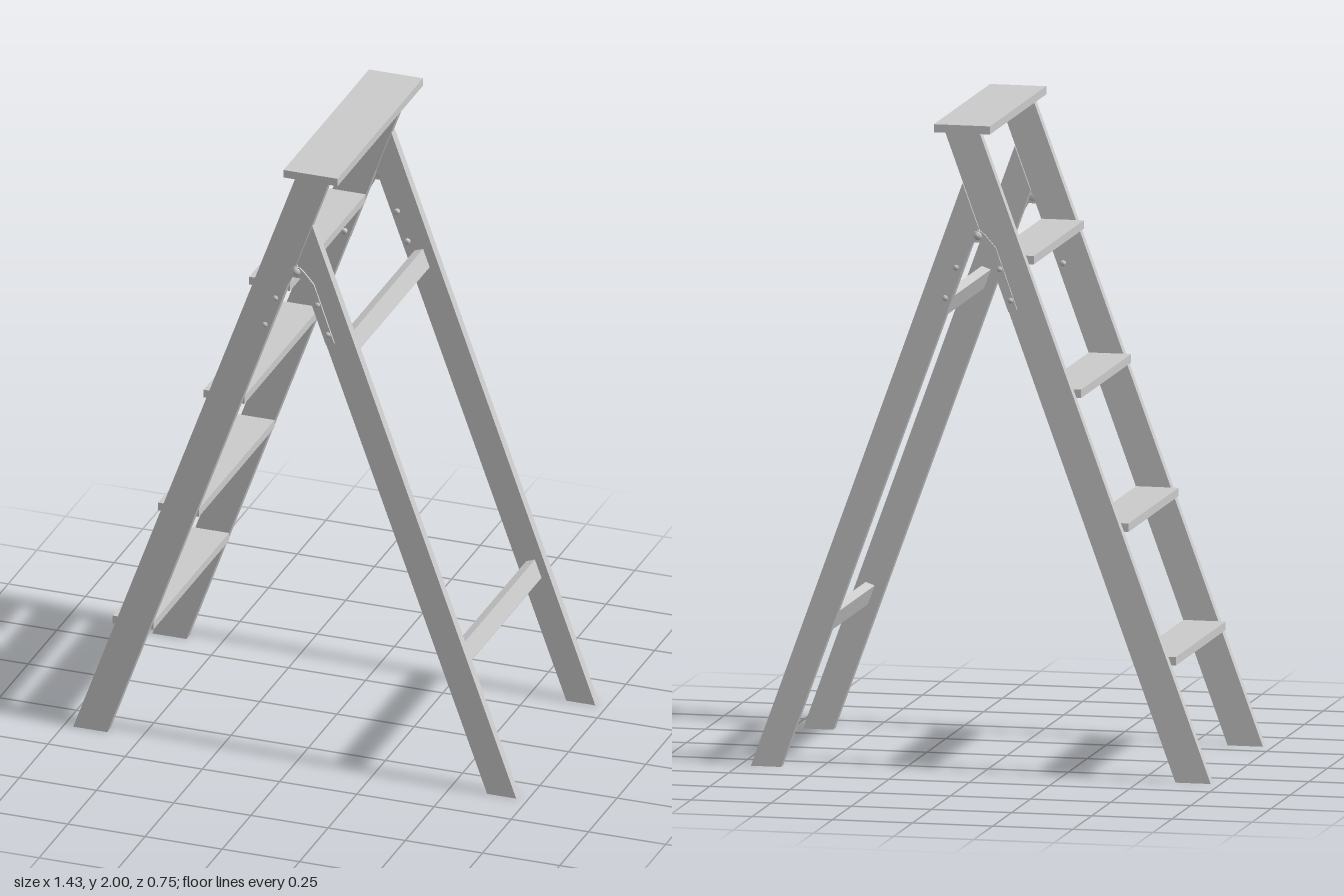
import * as THREE from 'three';

const material = new THREE.MeshStandardMaterial({ color: 0xcccccc, flatShading: true });
const smooth = new THREE.MeshStandardMaterial({ color: 0xcccccc });

const RAIL_IN = 0.33, RAIL_OUT = 0.36;
const LEAN = Math.atan(0.365);
const HINGE_X = 0.005;

function add(parent, name, geometry, x = 0, y = 0, z = 0, mat = material) {
  const mesh = new THREE.Mesh(geometry, mat);
  mesh.name = name;
  mesh.position.set(x, y, z);
  parent.add(mesh);
  return mesh;
}

// Flat plate with an outline in x and y, thickened along z
function plate(points, depth) {
  const shape = new THREE.Shape(points.map(([x, y]) => new THREE.Vector2(x, y)));
  return new THREE.ExtrudeGeometry(shape, { depth, bevelEnabled: false });
}

// Bolt along z with a domed head on the outer end
function bolt(radius, length) {
  const profile = [
    [0, -length / 2], [radius, -length / 2], [radius, length / 2 - radius * 0.6],
    [radius * 0.7, length / 2 - radius * 0.15], [0, length / 2],
  ].map(([r, y]) => new THREE.Vector2(r, y));
  return new THREE.LatheGeometry(profile, 16).rotateX(Math.PI / 2);
}

export function createModel() {
  const model = new THREE.Group();
  model.name = 'stepladder';

  // Top cap
  add(model, 'topCap', new THREE.BoxGeometry(0.175, 0.025, 0.745), 0.053, 1.9875, 0);

  // Side frames: front rail, rear leg, hinge strap and bolts
  const railOutline = [[-0.72, 0], [-0.61, 0], [0.108, 1.975], [0, 1.975]];
  const legOutline = [[0.62, 0], [0.714, 0], [0.054, 1.82], [HINGE_X, 1.686]];
  const halfStrap = [
    [0.014, 1.64], [0.03, 1.61], [0.095, 1.43], [0.122, 1.438],
    [0.056, 1.625], [0.022, 1.664], [0.01, 1.674],
  ];
  const strapOutline = [
    ...halfStrap,
    ...halfStrap.map(([x, y]) => [-x, y]).reverse(),
  ].map(([x, y]) => [x + HINGE_X, y]);

  for (const side of [1, -1]) {
    const frame = new THREE.Group();
    frame.name = side > 0 ? 'frontSideFrame' : 'backSideFrame';
    model.add(frame);
    const thickness = RAIL_OUT - RAIL_IN;
    const z = side > 0 ? RAIL_IN : -RAIL_OUT;
    add(frame, 'stepRail', plate(railOutline, thickness), 0, 0, z);
    add(frame, 'rearLeg', plate(legOutline, thickness), 0, 0, z);
    add(frame, 'hingeStrap', plate(strapOutline, 0.006), 0, 0,
      side > 0 ? RAIL_OUT : -RAIL_OUT - 0.006);

    const addBolt = (name, x, y, radius, from, to) => {
      const mesh = add(frame, name, bolt(radius, to - from), x, y, side * (from + to) / 2, smooth);
      if (side < 0) mesh.rotation.y = Math.PI;
    };
    addBolt('hingePin', HINGE_X, 1.66, 0.013, 0.358, 0.374);
    for (const dir of [1, -1]) {
      addBolt('upperBolt', HINGE_X + dir * 0.068, 1.56, 0.009, 0.322, 0.372);
      addBolt('lowerBolt', HINGE_X + dir * 0.102, 1.465, 0.009, 0.322, 0.372);
    }
  }

  // Four treads climbing the front rails
  for (let i = 0; i < 4; i++) {
    add(model, 'tread' + (i + 1), new THREE.BoxGeometry(0.132, 0.026, 2 * RAIL_IN),
      -0.538 + i * 0.1475, 0.368 + i * 0.406, 0);
  }

  // Crossbars between the rear legs, tilted with them
  for (const [name, x, y] of [['lowerCrossbar', 0.515, 0.425], ['upperCrossbar', 0.153, 1.412]]) {
    add(model, name, new THREE.BoxGeometry(0.03, 0.062, 2 * RAIL_IN), x, y, 0).rotation.z = LEAN;
  }

  return model;
}
